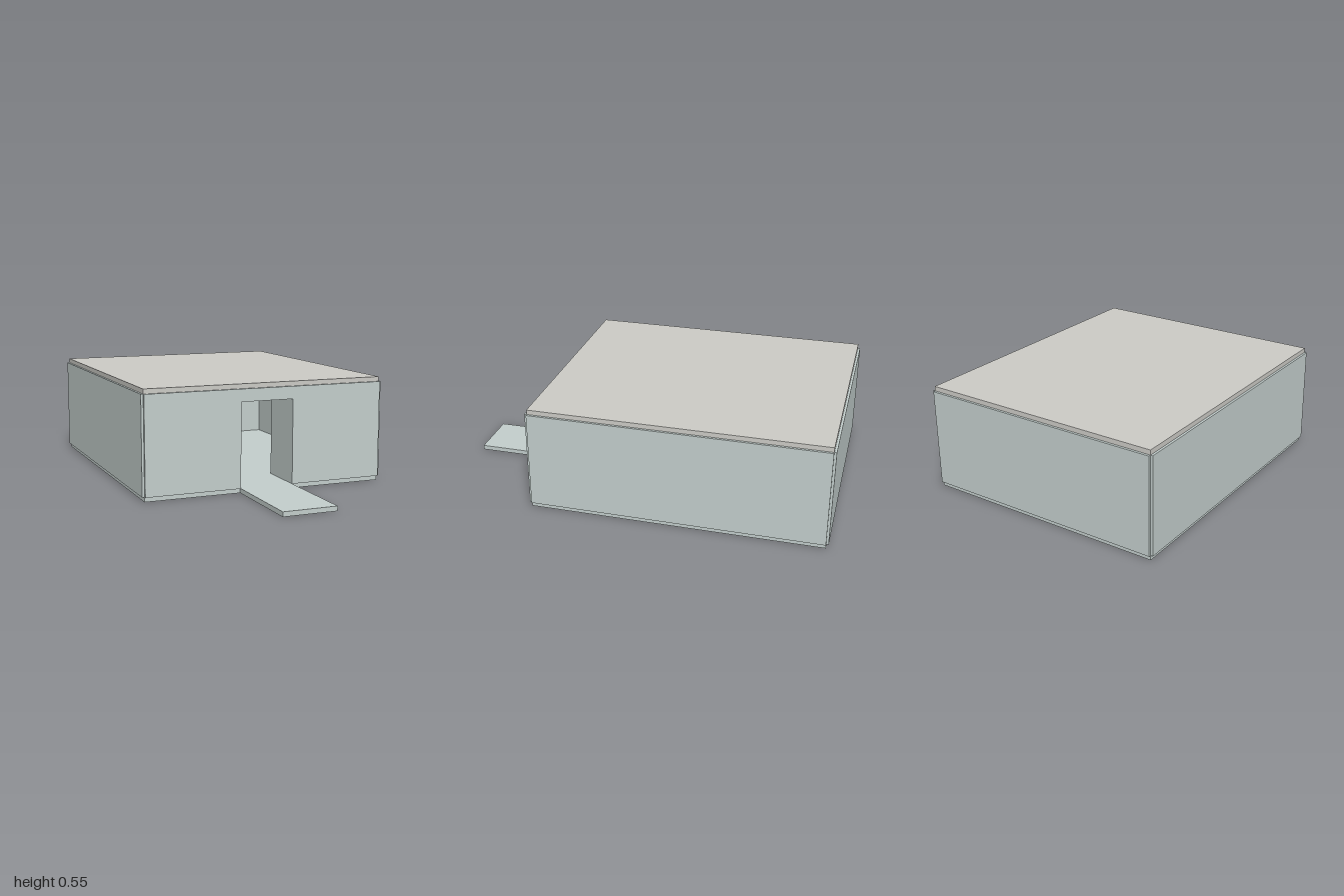
import * as THREE from 'three';

const T = 0.024;                       // panel thickness
const H = 0.546;                       // total height
const W = 0.636, BACK = -0.988, FRONT = 0.508; // slab half width and z range
const DOOR = 0.14, DOOR_TOP = 0.458;

const panelMat = new THREE.MeshStandardMaterial({ color: 0xc3cecc });
const roofMat = new THREE.MeshStandardMaterial({ color: 0xcccbc6 });

function box(name, x0, x1, y0, y1, z0, z1, mat = panelMat) {
  const mesh = new THREE.Mesh(new THREE.BoxGeometry(x1 - x0, y1 - y0, z1 - z0), mat);
  mesh.position.set((x0 + x1) / 2, (y0 + y1) / 2, (z0 + z1) / 2);
  mesh.name = name;
  return mesh;
}

function plate(name, points) {
  const shape = new THREE.Shape(points.map(([x, y]) => new THREE.Vector2(x, y)));
  const geo = new THREE.ExtrudeGeometry(shape, { depth: T, bevelEnabled: false });
  const mesh = new THREE.Mesh(geo, panelMat);
  mesh.name = name;
  return mesh;
}

export function createModel() {
  const model = new THREE.Group();
  model.name = 'building';

  // Floor slab with the entrance walkway in one piece (shape y becomes -z)
  const floor = plate('floorAndWalkway', [
    [-DOOR, -1], [DOOR, -1], [DOOR, -FRONT], [W, -FRONT],
    [W, -BACK], [-W, -BACK], [-W, -FRONT], [-DOOR, -FRONT],
  ]);
  floor.rotation.x = -Math.PI / 2;
  model.add(floor);

  // Front wall with the doorway cut out
  const front = plate('frontWall', [
    [-W, T], [-DOOR, T], [-DOOR, DOOR_TOP], [DOOR, DOOR_TOP],
    [DOOR, T], [W, T], [W, H - T], [-W, H - T],
  ]);
  front.position.z = FRONT - T / 2;
  model.add(front);

  // Back wall and roof
  model.add(box('backWall', -W, W, T, H - T, BACK - T / 2, BACK + T / 2));
  model.add(box('roof', -W, W, H - T, H, BACK, FRONT, roofMat));

  // Side walls, and the short walls lining the entrance passage
  for (const [side, s] of [['left', 1], ['right', -1]]) {
    const x = s * W;
    model.add(box(side + 'Wall', x - T / 2, x + T / 2, T, H - T, BACK, FRONT));
    const p = s * (DOOR + T / 2);
    model.add(box(side + 'PassageWall', p - T / 2, p + T / 2, T, H - T, 0.26, FRONT - T / 2));
  }
  return model;
}
